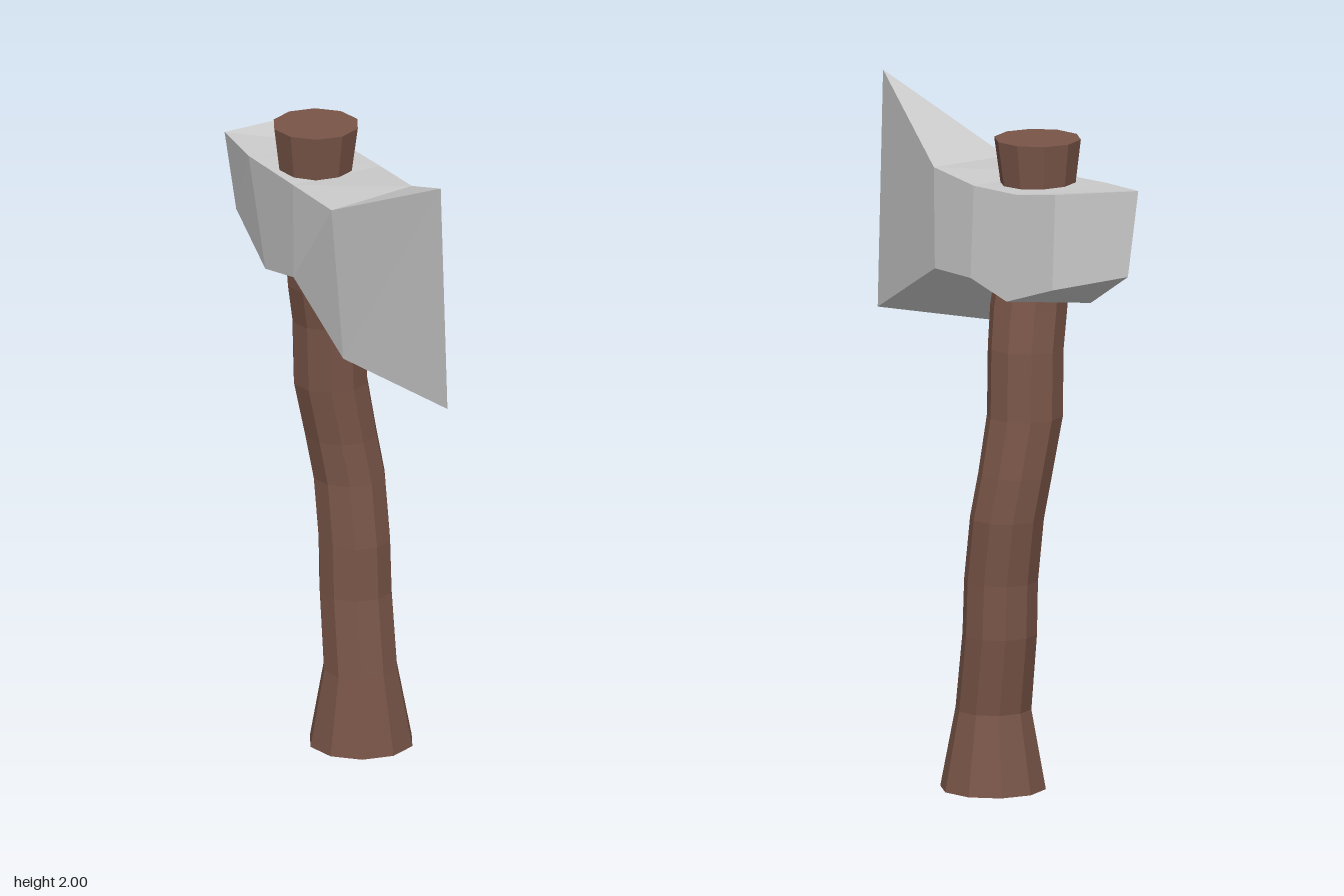
import * as THREE from 'three';

// Skins a list of rings (equal point counts, counter-clockwise seen from the last ring) and caps both ends.
function loft(rings) {
  const pos = [];
  const tri = (a, b, c) => pos.push(...a, ...b, ...c);
  const n = rings[0].length;
  for (let s = 0; s < rings.length - 1; s++) {
    const a = rings[s], b = rings[s + 1];
    for (let i = 0; i < n; i++) {
      const j = (i + 1) % n;
      tri(a[i], a[j], b[i]);
      tri(a[j], b[j], b[i]);
    }
  }
  const first = rings[0], last = rings[rings.length - 1];
  for (let i = 1; i < n - 1; i++) {
    tri(first[0], first[i + 1], first[i]);
    tri(last[0], last[i], last[i + 1]);
  }
  const geo = new THREE.BufferGeometry();
  geo.setAttribute('position', new THREE.Float32BufferAttribute(pos, 3));
  geo.computeVertexNormals();
  return geo;
}

function part(name, geo, color) {
  const mesh = new THREE.Mesh(geo, new THREE.MeshStandardMaterial({ color, flatShading: true }));
  mesh.name = name;
  return mesh;
}

export function createModel() {
  const group = new THREE.Group();
  group.name = 'axe';

  // Crooked ten-sided handle: y, centre x, centre z, radius
  const stations = [
    [0.005, 0.005, -0.152, 0.156],
    [0.24, 0.005, -0.145, 0.112],
    [0.47, -0.018, -0.172, 0.11],
    [0.63, -0.022, -0.173, 0.109],
    [0.82, -0.042, -0.187, 0.109],
    [0.95, -0.065, -0.18, 0.109],
    [1.12, -0.09, -0.158, 0.112],
    [1.32, -0.09, -0.143, 0.112],
    [1.44, -0.095, -0.118, 0.114],
    [1.55, -0.105, -0.105, 0.108],
    [1.78, -0.12, -0.105, 0.108],
    [1.935, -0.118, -0.102, 0.128],
  ];
  const handleRings = stations.map(([y, cx, cz, r]) =>
    Array.from({ length: 10 }, (_, i) => {
      const a = (i / 10) * Math.PI * 2;
      return [cx + r * Math.cos(a), y, cz - r * Math.sin(a)];
    }));
  group.add(part('handle', loft(handleRings), 0x795548));

  // Axe head, from the blunt end to the cutting edge.
  // Each section: bottom and top corners of one side, then the other
  const tipTop = [0.43, 2.0, 0.457], tipBottom = [0.44, 1.3, 0.422];
  const headRings = [
    [[-0.415, 1.57, -0.285], [-0.22, 1.56, -0.457], [-0.225, 1.84, -0.435], [-0.44, 1.82, -0.25]],
    [[-0.28, 1.455, -0.13], [-0.065, 1.495, -0.335], [-0.085, 1.805, -0.29], [-0.325, 1.81, -0.11]],
    [[-0.14, 1.51, 0.05], [0.065, 1.53, -0.19], [0.06, 1.8, -0.165], [-0.14, 1.8, 0.055]],
    [[0.05, 1.325, 0.18], [0.197, 1.52, -0.03], [0.205, 1.815, 0.0], [0.03, 1.805, 0.232]],
    [tipBottom, tipBottom, tipTop, tipTop],
  ];
  group.add(part('axeHead', loft(headRings), 0xcccccc));

  return group;
}
